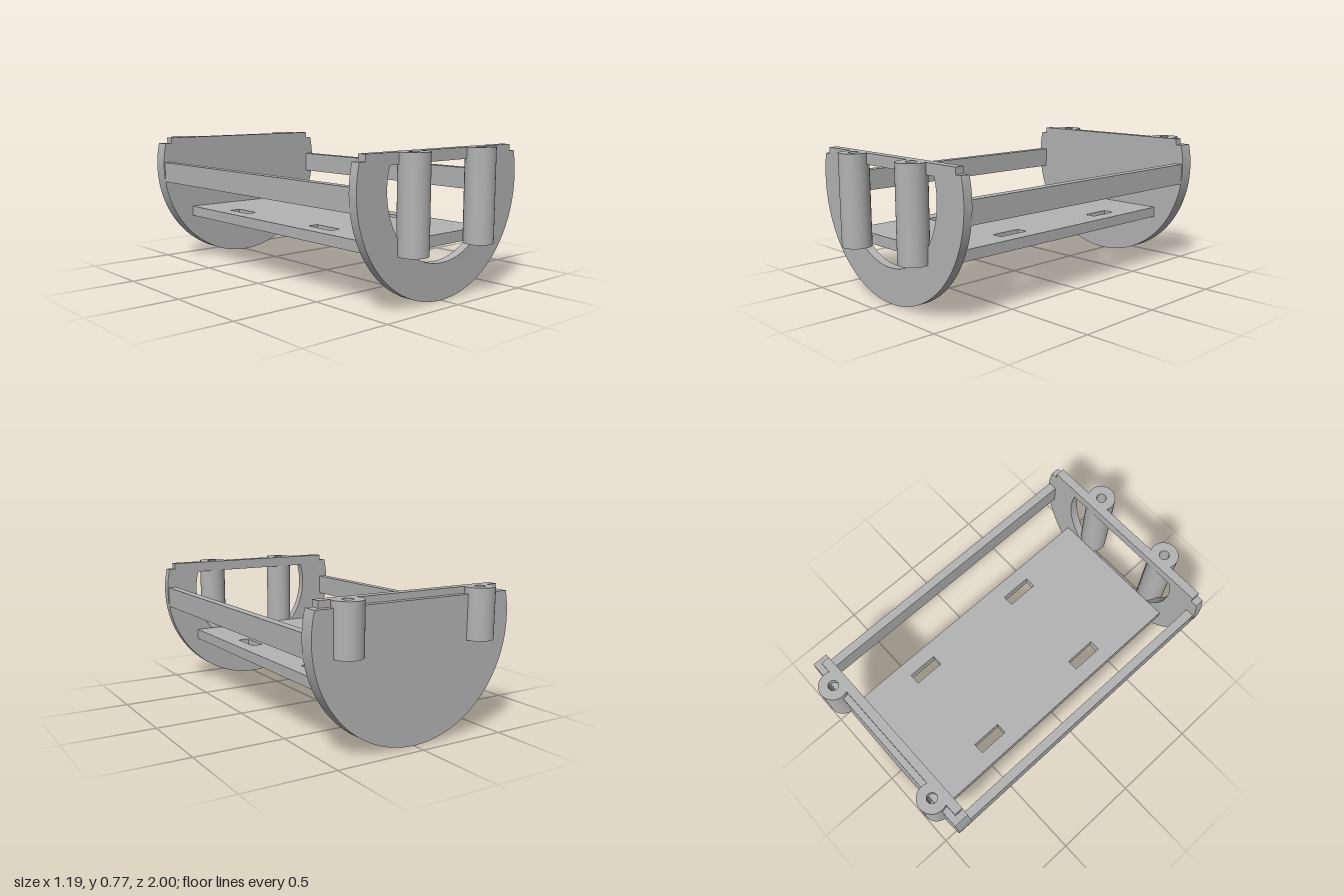
import * as THREE from 'three';
import { toCreasedNormals } from 'three/addons/utils/BufferGeometryUtils.js';

const CY = 0.595, R = 0.595;      // centre height and radius of the end plates
const TOP = 0.77, STEP = 0.735;   // top of the tongue and of the shoulders
const TONGUE = 0.54;              // half width of the tongue

// Disc cut flat at the shoulders, with an optional raised tongue
function plateShape(withTongue) {
  const a = Math.asin((STEP - CY) / R);
  const s = new THREE.Shape();
  s.absarc(0, CY, R, Math.PI - a, Math.PI * 2 + a, false);
  if (withTongue) {
    s.lineTo(TONGUE, STEP);
    s.lineTo(TONGUE, TOP);
    s.lineTo(-TONGUE, TOP);
    s.lineTo(-TONGUE, STEP);
  }
  s.closePath();
  return s;
}

// Round opening with a flat top
function openingPath() {
  const r = 0.4, a = Math.asin((0.71 - CY) / r);
  const p = new THREE.Path();
  p.absarc(0, CY, r, Math.PI - a, Math.PI * 2 + a, false);
  p.closePath();
  return p;
}

function extrude(shape, depth) {
  const g = new THREE.ExtrudeGeometry(shape, { depth, bevelEnabled: false, curveSegments: 72 });
  return toCreasedNormals(g, 0.5);
}

export function createModel() {
  const model = new THREE.Group();
  const grey = new THREE.MeshStandardMaterial({ color: 0xb3b3b3 });
  grey.name = 'plain grey';

  function add(name, geometry, x = 0, y = 0, z = 0) {
    const mesh = new THREE.Mesh(geometry, grey);
    mesh.name = name;
    mesh.position.set(x, y, z);
    model.add(mesh);
    return mesh;
  }

  // End plates: open ring at the front, solid stepped plate at the back
  const ring = plateShape(true);
  ring.holes.push(openingPath());
  add('frontPlate', extrude(ring, 0.05), 0, 0, 0.84);
  add('backPlate', extrude(plateShape(true), 0.05), 0, 0, -0.89);
  add('backCover', extrude(plateShape(false), 0.035), 0, 0, -0.925);

  // Shelf with four slots, drawn flat and then laid down
  const shelf = new THREE.Shape([
    [-0.4, -0.84], [0.4, -0.84], [0.4, 0.84], [-0.4, 0.84],
  ].map(([x, z]) => new THREE.Vector2(x, z)));
  for (const side of [-1, 1]) {
    for (const [z0, z1] of [[-0.53, -0.355], [0.215, 0.4]]) {
      const x0 = side * 0.283 - 0.032, x1 = side * 0.283 + 0.032;
      shelf.holes.push(new THREE.Path([
        [x0, z0], [x0, z1], [x1, z1], [x1, z0],
      ].map(([x, z]) => new THREE.Vector2(x, z))));
    }
  }
  const shelfGeometry = extrude(shelf, 0.06);
  shelfGeometry.rotateX(Math.PI / 2);
  add('shelf', shelfGeometry, 0, 0.33, 0);

  // Round post with a blind screw hole in its top
  function postGeometry(height) {
    const r = 0.08, hole = 0.028, floor = height - 0.2;
    const profile = [[0, 0], [r, 0], [r, height], [hole, height], [hole, floor], [0, floor]];
    const g = new THREE.LatheGeometry(profile.map(([x, y]) => new THREE.Vector2(x, y)), 48);
    return toCreasedNormals(g, 0.5);
  }

  // Side rails and screw posts, mirrored
  for (const side of [-1, 1]) {
    const hand = side > 0 ? 'left' : 'right';
    add(hand + 'Rail', new THREE.BoxGeometry(0.049, 0.12, 1.68), side * 0.5635, 0.56, 0);
    add(hand + 'FrontPost', postGeometry(0.5), side * 0.25, 0.27, 0.92);
    add(hand + 'BackPost', postGeometry(0.27), side * 0.4, 0.5, -0.92);
  }

  return model;
}
